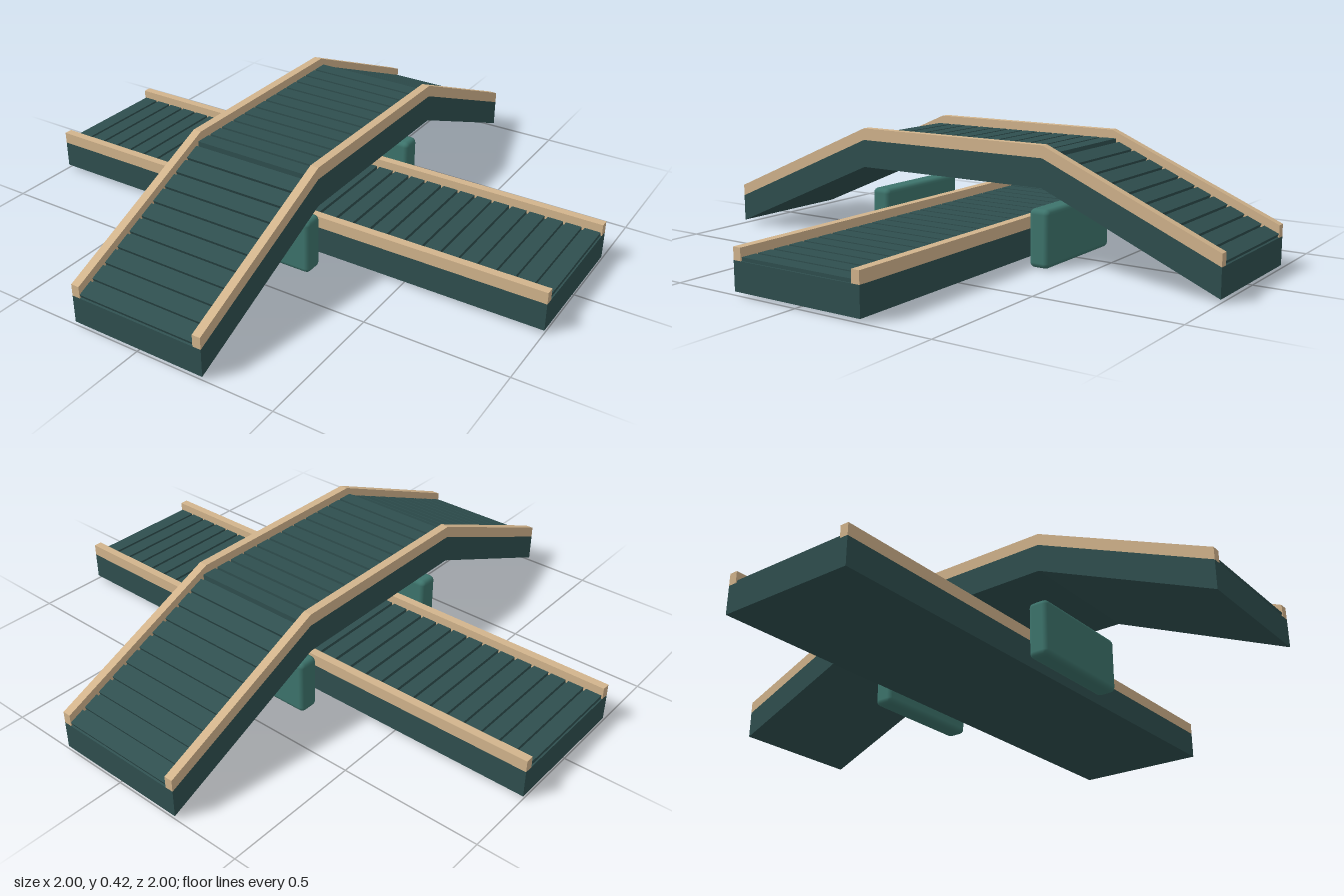
import * as THREE from 'three';
import { RoundedBoxGeometry } from 'three/addons/geometries/RoundedBoxGeometry.js';

const slate = new THREE.MeshStandardMaterial({ color: 0x2f4f4f });
slate.name = 'dark slate';
const tan = new THREE.MeshStandardMaterial({ color: 0xd2b48c });
tan.name = 'tan';
const teal = new THREE.MeshStandardMaterial({ color: 0x3d746c });
teal.name = 'teal';

const HALF = 0.25, RAIL = 0.03;

function add(parent, name, geometry, material, x = 0, y = 0, z = 0) {
  const mesh = new THREE.Mesh(geometry, material);
  mesh.name = name;
  mesh.position.set(x, y, z);
  parent.add(mesh);
  return mesh;
}

// Strip following a path of [z, y] points, between two height offsets, extruded across x
function strip(path, low, high, x0, x1) {
  const pts = [
    ...path.map(([z, y]) => new THREE.Vector2(-z, y + low)),
    ...[...path].reverse().map(([z, y]) => new THREE.Vector2(-z, y + high)),
  ];
  const geometry = new THREE.ExtrudeGeometry(new THREE.Shape(pts), { depth: x1 - x0, bevelEnabled: false });
  return geometry.rotateY(Math.PI / 2).translate(x0, 0, 0);
}

// Conveyor running along z: bed, two side rails and evenly spaced slats
function conveyor(name, path, slatCount) {
  const group = new THREE.Group();
  group.name = name;
  add(group, 'bed', strip(path, 0, 0.098, -HALF, HALF), slate);
  add(group, 'leftRail', strip(path, 0.098, 0.14, HALF - RAIL, HALF), tan);
  add(group, 'rightRail', strip(path, 0.098, 0.14, -HALF, RAIL - HALF), tan);

  const points = path.map(([z, y]) => new THREE.Vector2(z, y));
  const lengths = points.slice(1).map((p, i) => p.distanceTo(points[i]));
  const pitch = lengths.reduce((a, b) => a + b) / slatCount;
  const slat = new THREE.BoxGeometry(2 * (HALF - RAIL), 0.02, pitch * 0.84);
  for (let i = 0; i < slatCount; i++) {
    let s = (i + 0.5) * pitch, k = 0;
    while (s > lengths[k]) s -= lengths[k++];
    const p = points[k].clone().lerp(points[k + 1], s / lengths[k]);
    const d = points[k + 1].clone().sub(points[k]);
    const mesh = add(group, 'slat', slat, slate, 0, p.y + 0.1, p.x);
    mesh.rotation.x = -Math.atan2(d.y, d.x);
  }
  return group;
}

export function createModel() {
  const model = new THREE.Group();
  model.name = 'crossingConveyors';

  // Raised bridge along z
  const bridge = [[-1, 0.012], [-0.375, 0.281], [0.375, 0.281], [1, 0.012]];
  model.add(conveyor('bridgeConveyor', bridge, 32));

  // Flat conveyor along x, passing beneath
  const flat = conveyor('groundConveyor', [[-1, 0.012], [1, 0.012]], 30);
  flat.rotation.y = Math.PI / 2;
  model.add(flat);

  // Rounded blocks on both sides of the underpass
  const block = new RoundedBoxGeometry(0.42, 0.2, 0.075, 2, 0.018);
  for (const side of [-1, 1]) {
    add(model, side > 0 ? 'frontBlock' : 'backBlock', block, teal, 0, 0.1, side * 0.3375);
  }
  return model;
}
